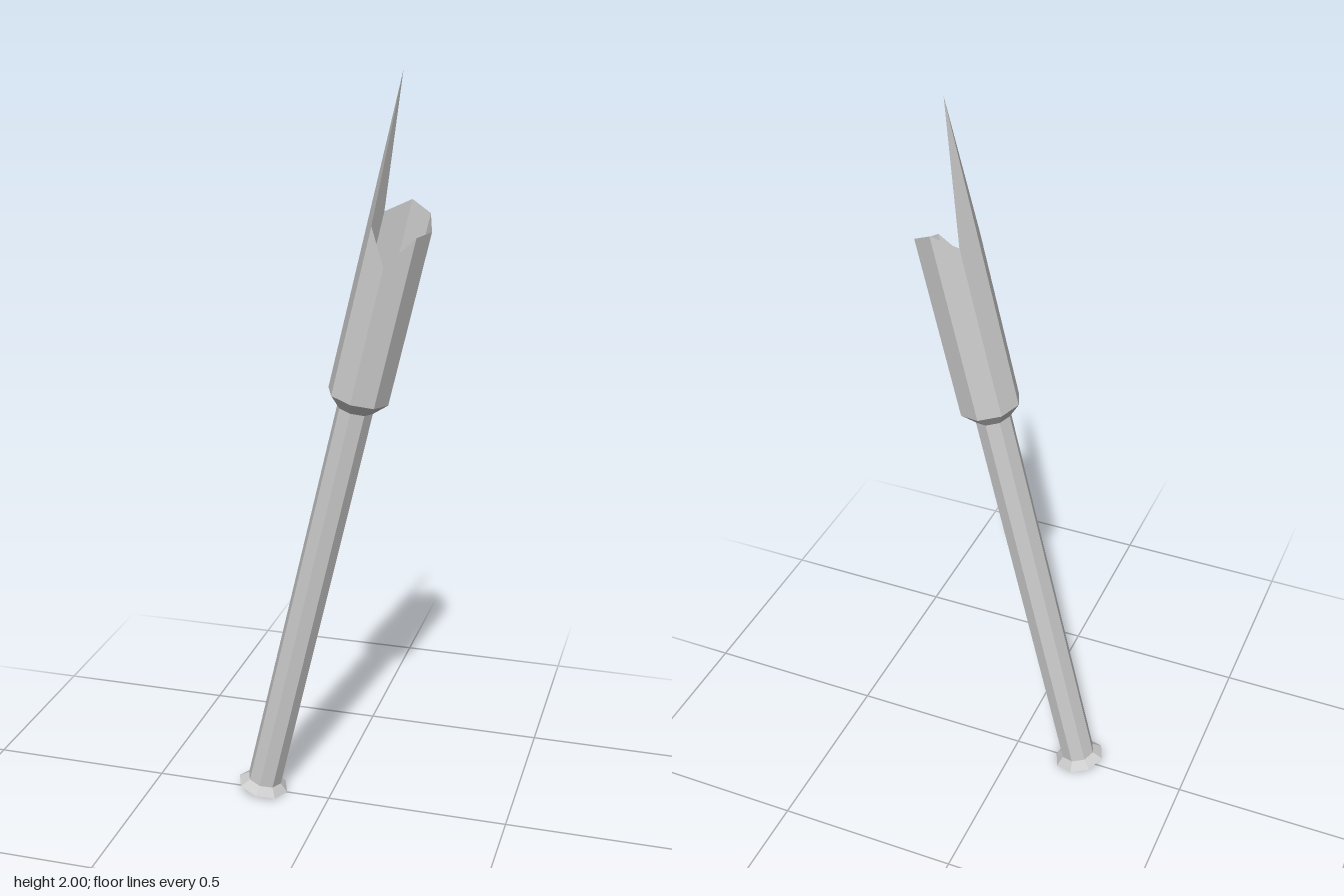
import * as THREE from 'three';

const SIDES = 8;
const material = new THREE.MeshStandardMaterial({
  color: 0xcccccc, flatShading: true, side: THREE.DoubleSide,
});

// Octagonal ring; height is one number, or one per corner.
function ring(radius, height) {
  return Array.from({ length: SIDES }, (_, i) => {
    const a = (i / SIDES) * Math.PI * 2;
    const y = Array.isArray(height) ? height[i] : height;
    return [radius * Math.cos(a), y, radius * Math.sin(a)];
  });
}

// Open-ended wall between two rings.
function wall(name, lower, upper) {
  const points = [];
  for (let i = 0; i < SIDES; i++) {
    const j = (i + 1) % SIDES;
    points.push(lower[i], upper[i], upper[j], lower[i], upper[j], lower[j]);
  }
  const geometry = new THREE.BufferGeometry();
  geometry.setAttribute('position', new THREE.Float32BufferAttribute(points.flat(), 3));
  geometry.computeVertexNormals();
  const mesh = new THREE.Mesh(geometry, material);
  mesh.name = name;
  return mesh;
}

export function createModel() {
  const base = ring(0.072, 0);
  const shaftBottom = ring(0.048, 0.02);
  const shaftTop = ring(0.048, 1.163);
  const headBottom = ring(0.081, 1.197);
  // Jagged rim, from +x through the front (+z); the -x corner is the long splinter.
  const brokenRim = ring(0.081, [1.659, 1.648, 1.56, 1.645, 2.016, 1.662, 1.706, 1.69]);

  const pole = new THREE.Group();
  pole.name = 'brokenPole';
  pole.add(
    wall('footFlare', base, shaftBottom),
    wall('shaft', shaftBottom, shaftTop),
    wall('collar', shaftTop, headBottom),
    wall('splinteredHead', headBottom, brokenRim),
  );
  // Lean toward +x
  pole.rotation.z = -THREE.MathUtils.degToRad(13.03);
  pole.position.set(-0.192, 0.017, 0);

  const model = new THREE.Group();
  model.name = 'leaningBrokenPole';
  model.add(pole);
  return model;
}
